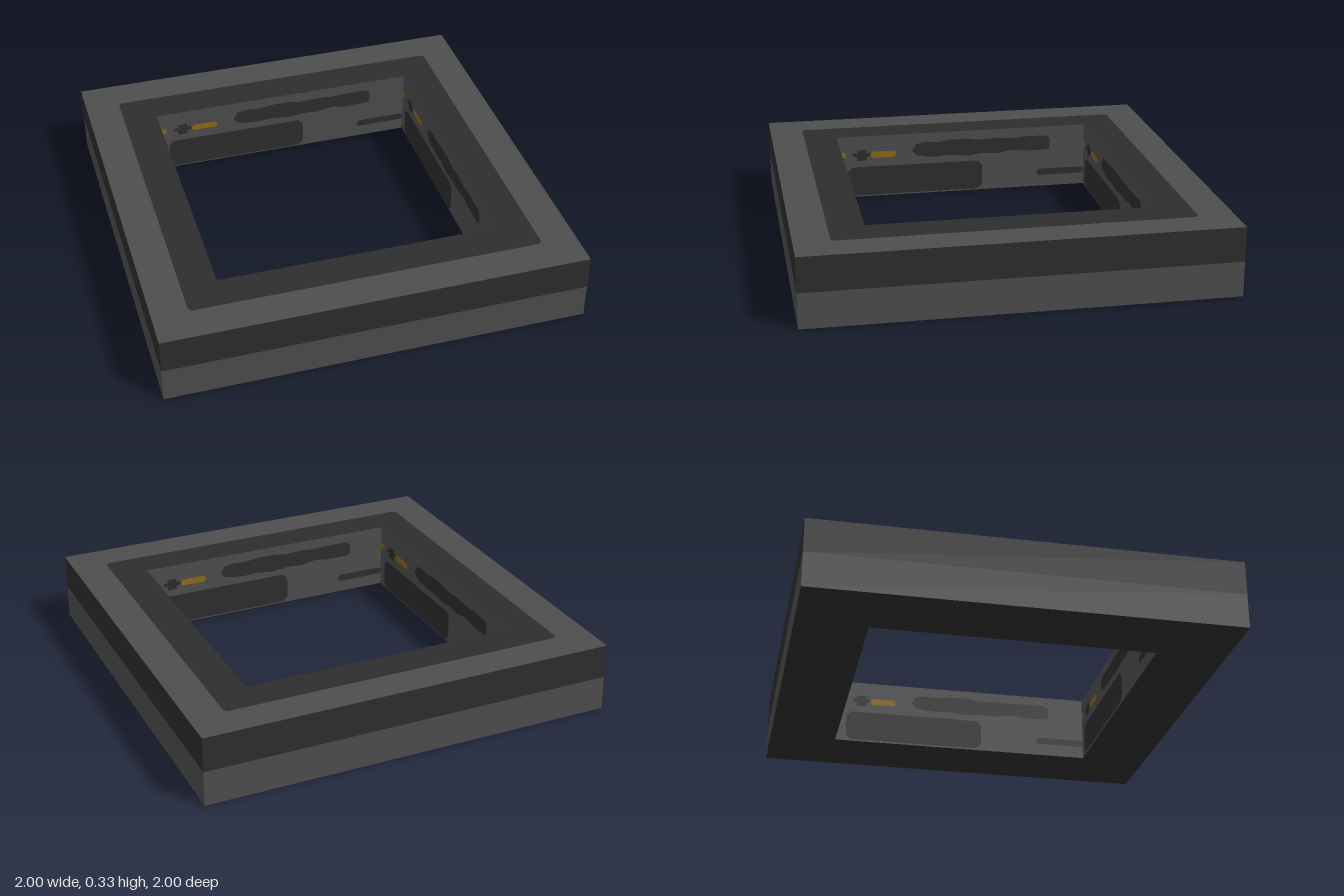
import * as THREE from 'three';

const H = 1 / 3, INNER = 2 / 3, MID = 0.168;

const material = (name, color) => {
  const m = new THREE.MeshStandardMaterial({ color });
  m.name = name;
  return m;
};

// Rectangle with cut corners, drawn on any Shape or Path
function panel(path, x0, y0, x1, y1, c = 0) {
  const pts = c
    ? [[x0 + c, y0], [x1 - c, y0], [x1, y0 + c], [x1, y1 - c], [x1 - c, y1], [x0 + c, y1], [x0, y1 - c], [x0, y0 + c]]
    : [[x0, y0], [x1, y0], [x1, y1], [x0, y1]];
  path.setFromPoints(pts.map(([x, y]) => new THREE.Vector2(x, y)));
  path.closePath();
  return path;
}

// Flat square ring
function ring(outer, outerCut, inner, innerCut) {
  const shape = panel(new THREE.Shape(), -outer, -outer, outer, outer, outerCut);
  shape.holes.push(panel(new THREE.Path(), -inner, -inner, inner, inner, innerCut));
  return new THREE.ShapeGeometry(shape);
}

export function createModel() {
  const model = new THREE.Group();
  const grey = material('mid grey', 0x4d4d4d);
  const dark = material('charcoal', 0x2d2d2d);
  const amber = material('dull amber', 0x8c6a18);

  const add = (parent, name, geometry, mat) => {
    const mesh = new THREE.Mesh(geometry, mat);
    mesh.name = name;
    parent.add(mesh);
    return mesh;
  };

  // Top: grey border around a charcoal inlay
  add(model, 'topBorder', ring(1, 0, 0.833, 0.015).rotateX(-Math.PI / 2).translate(0, H, 0), grey);
  add(model, 'topInlay', ring(0.833, 0.015, INNER, 0).rotateX(-Math.PI / 2).translate(0, H, 0), dark);
  add(model, 'underside', ring(1, 0, INNER, 0).rotateX(Math.PI / 2), dark);

  // Wavy patch: x measured from the left end of an inner wall
  const patch = [
    [0.40, 0.24], [0.42, 0.275], [0.47, 0.285], [0.54, 0.28], [0.6, 0.29], [0.7, 0.29], [0.76, 0.28],
    [0.85, 0.285], [0.93, 0.28], [1.0, 0.285], [1.12, 0.285], [1.145, 0.27], [1.145, 0.215], [1.12, 0.205],
    [1.0, 0.205], [0.94, 0.215], [0.86, 0.2], [0.78, 0.205], [0.7, 0.195], [0.6, 0.205], [0.53, 0.2], [0.47, 0.205], [0.42, 0.215],
  ].map(([x, y]) => new THREE.Vector2(x, y));

  // Painted markings repeated on each inner wall
  const rect = (...a) => panel(new THREE.Shape(), ...a);
  const markings = [
    ['wavyPatch', new THREE.Shape(patch), dark],
    ['lowerPanel', rect(0.055, 0.008, 0.775, 0.165, 0.025), dark],
    ['dash', rect(1.075, 0.062, 1.333, 0.098, 0.012), dark],
    ['smallBlock', rect(0.105, 0.2, 0.155, 0.258), dark],
    ['smallBlockTabs', rect(0.085, 0.222, 0.175, 0.242), dark],
    ['amberBar', rect(0.18, 0.212, 0.313, 0.246, 0.01), amber],
    ['amberCorner', rect(0, 0.218, 0.045, 0.248), amber],
  ];

  // Four identical sides
  for (let i = 0; i < 4; i++) {
    const side = new THREE.Group();
    side.name = 'side' + (i + 1);
    side.rotation.y = i * Math.PI / 2;
    model.add(side);

    add(side, 'outerLowerBand', new THREE.PlaneGeometry(2, MID).translate(0, MID / 2, 1), grey);
    add(side, 'outerUpperBand', new THREE.PlaneGeometry(2, H - MID).translate(0, (H + MID) / 2, 1), dark);
    add(side, 'innerWall', new THREE.PlaneGeometry(2 * INNER, H).translate(0, H / 2, -INNER), grey);
    for (const [name, shape, mat] of markings) {
      add(side, name, new THREE.ShapeGeometry(shape).translate(-INNER, 0, -INNER + 0.003), mat);
    }
  }
  return model;
}
